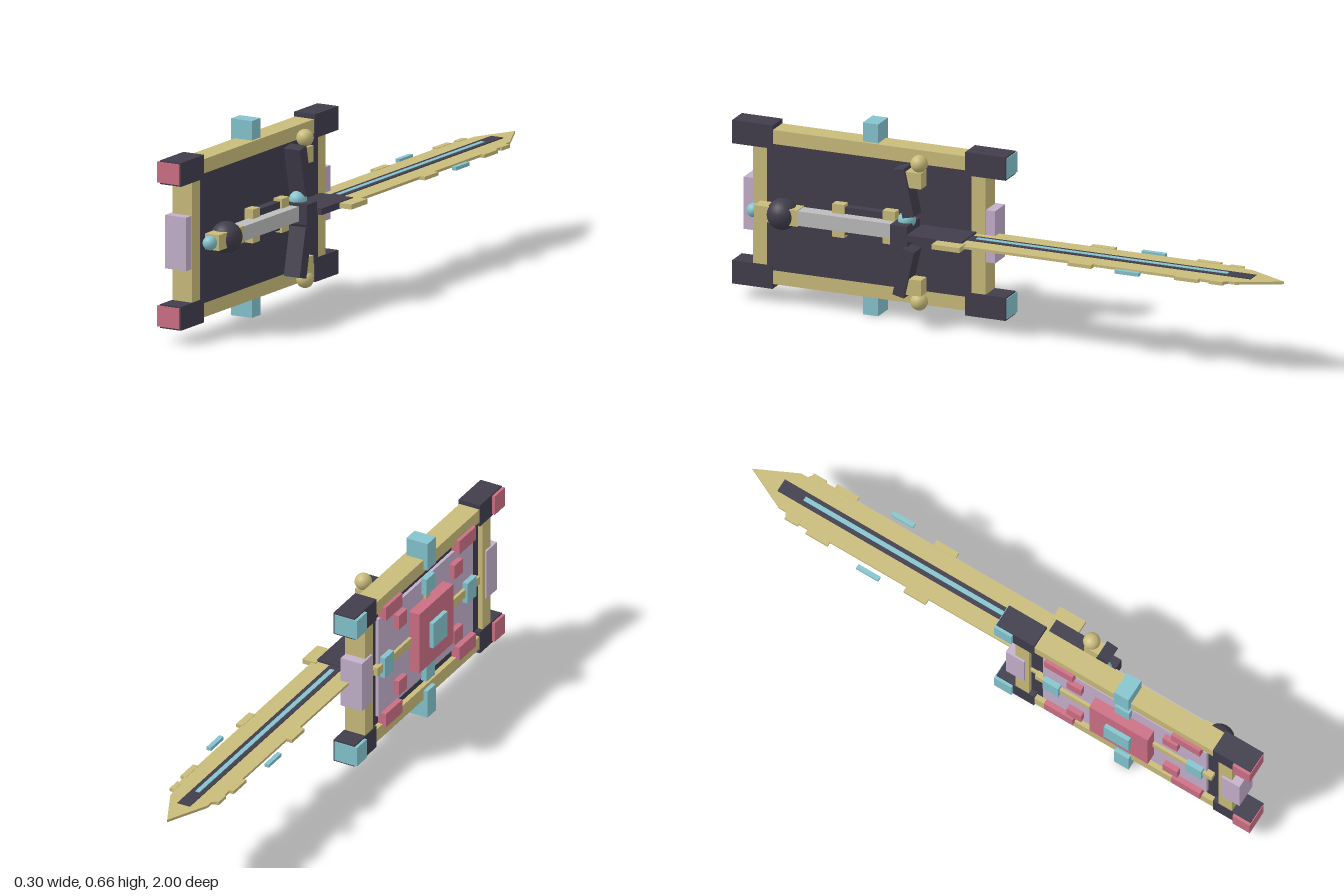
import * as THREE from 'three';

const mat = (name, color) => {
  const m = new THREE.MeshStandardMaterial({ color });
  m.name = name;
  return m;
};

export function createModel() {
  const gold = mat('gold', 0xc9bb7b), dark = mat('darkSteel', 0x413d4c), teal = mat('teal', 0x85c4ce);
  const pink = mat('pink', 0xcb6f84), lavender = mat('lavender', 0xc4b0cb), grey = mat('gripGrey', 0xbcbcbc);
  const root = new THREE.Group();
  root.name = 'swordAndShield';
  const shield = new THREE.Group(), sword = new THREE.Group();
  shield.name = 'shield';
  sword.name = 'sword';
  root.add(shield, sword);

  const add = (parent, name, geometry, material) => {
    const mesh = new THREE.Mesh(geometry, material);
    mesh.name = name;
    parent.add(mesh);
    return mesh;
  };
  // box given by its limits on each axis
  const box = (parent, name, material, x0, x1, y0, y1, z0, z1) => {
    const m = add(parent, name, new THREE.BoxGeometry(x1 - x0, y1 - y0, z1 - z0), material);
    m.position.set((x0 + x1) / 2, (y0 + y1) / 2, (z0 + z1) / 2);
    return m;
  };
  const ball = (parent, name, material, r, x, y, z) => {
    const m = add(parent, name, new THREE.SphereGeometry(r, 20, 14), material);
    m.position.set(x, y, z);
    return m;
  };

  // ---- Shield, standing in the y-z plane ----
  const CY = 0.333, CZ = 0.508;
  // box centred at an offset from the shield centre
  const plate = (name, material, x0, x1, dy, dz, h, l) =>
    box(shield, name, material, x0, x1, CY + dy - h / 2, CY + dy + h / 2, CZ + dz - l / 2, CZ + dz + l / 2);

  plate('panel', dark, -0.082, -0.024, 0, 0, 0.436, 0.732);
  plate('facePanel', lavender, -0.093, -0.08, 0, 0, 0.37, 0.63);
  for (const s of [-1, 1]) {
    plate('longFrameBeam', gold, -0.1, -0.025, s * 0.242, 0, 0.048, 0.834);
    plate('endFrameBeam', gold, -0.1, -0.025, 0, s * 0.391, 0.44, 0.051);
    plate('edgeBlock', teal, -0.115, -0.035, s * 0.281, 0, 0.1, 0.055);
    plate('endBlock', lavender, -0.107, -0.027, 0, s * 0.415, 0.18, 0.07);
    // face ornaments on the four sides
    plate('sideStud', teal, -0.112, -0.09, 0, s * 0.275, 0.075, 0.06);
    plate('upDownStud', teal, -0.112, -0.09, s * 0.164, 0, 0.06, 0.055);
    for (const t of [-1, 1]) {
      plate('cornerBlock', dark, -0.102, -0.022, s * 0.242, t * 0.417, 0.08, 0.145);
      plate('cornerCap', t > 0 ? pink : teal, -0.112, -0.027, s * 0.242, t * 0.459, 0.07, 0.067);
      plate('largeStud', pink, -0.112, -0.08, s * 0.203, t * 0.245, 0.05, 0.11);
      plate('smallStud', pink, -0.112, -0.09, s * 0.125, t * 0.185, 0.053, 0.055);
    }
  }
  plate('crossBar', gold, -0.104, -0.08, 0, 0, 0.03, 0.68);
  plate('uprightBar', gold, -0.102, -0.08, 0, 0, 0.37, 0.03);
  plate('bossPlate', pink, -0.133, -0.09, 0, 0, 0.223, 0.225);
  plate('bossGem', teal, -0.148, -0.13, 0, 0, 0.093, 0.095);

  // ---- Sword, lying along z and pointing to -z ----
  const SX = 0.028;
  const part = (name, material, w, h, z0, z1, dx = 0, dy = 0) =>
    box(sword, name, material, SX + dx - w / 2, SX + dx + w / 2, CY + dy - h / 2, CY + dy + h / 2, z0, z1);

  // blade outline as half width against z, mirrored
  const half = [[0.07, -0.855], [0.07, -0.83], [0.085, -0.82], [0.085, 0.14]];
  const outline = [[0, -1], ...half, ...half.slice().reverse().map(([x, z]) => [-x, z])];
  const blade = new THREE.ExtrudeGeometry(
    new THREE.Shape(outline.map(([x, z]) => new THREE.Vector2(x, -z))), { depth: 0.009, bevelEnabled: false });
  blade.rotateX(-Math.PI / 2);
  blade.translate(SX, CY - 0.0045, 0);
  add(sword, 'blade', blade, gold);
  part('fuller', dark, 0.047, 0.014, -0.89, 0.14);
  part('bladeInlay', teal, 0.016, 0.018, -0.8, 0.1);
  for (const s of [-1, 1]) {
    part('bladeNotchFront', gold, 0.02, 0.012, -0.735, -0.65, s * 0.09);
    part('bladeNotchUpper', gold, 0.018, 0.012, -0.82, -0.77, s * 0.083);
    part('bladeNotchRear', gold, 0.024, 0.012, -0.355, -0.27, s * 0.093);
    part('bladeFin', teal, 0.016, 0.012, -0.53, -0.445, s * 0.109);
    part('guardWing', gold, 0.05, 0.017, 0.11, 0.21, s * 0.094);
  }

  // guard
  part('guardPlate', dark, 0.146, 0.022, 0.125, 0.32);
  part('guardBlock', dark, 0.115, 0.07, 0.325, 0.385);
  ball(sword, 'guardGem', teal, 0.03, SX, 0.372, 0.35);
  for (const s of [-1, 1]) {
    const arm = part('guardArm', dark, 0.062, 0.166, 0.329, 0.371, 0, s * 0.138);
    arm.rotation.x = s * 0.22;
    part('armBlock', gold, 0.045, 0.055, 0.29, 0.345, 0, s * 0.185);
    ball(sword, 'armBall', gold, 0.029, SX, CY + s * 0.238, 0.306);
  }

  // grip with the bracket on the shield side
  part('grip', grey, 0.05, 0.05, 0.385, 0.74);
  part('bracket', dark, 0.03, 0.095, 0.42, 0.6, -0.028);
  part('bracketEnd', gold, 0.032, 0.114, 0.395, 0.44, -0.022);
  part('bracketEnd', gold, 0.032, 0.114, 0.577, 0.62, -0.022);

  // pommel
  part('gripCollar', gold, 0.056, 0.056, 0.73, 0.76);
  ball(sword, 'pommel', dark, 0.053, SX, CY, 0.795);
  part('pommelCap', gold, 0.053, 0.053, 0.83, 0.885);
  ball(sword, 'pommelGem', teal, 0.024, SX, CY, 0.898);

  return root;
}
